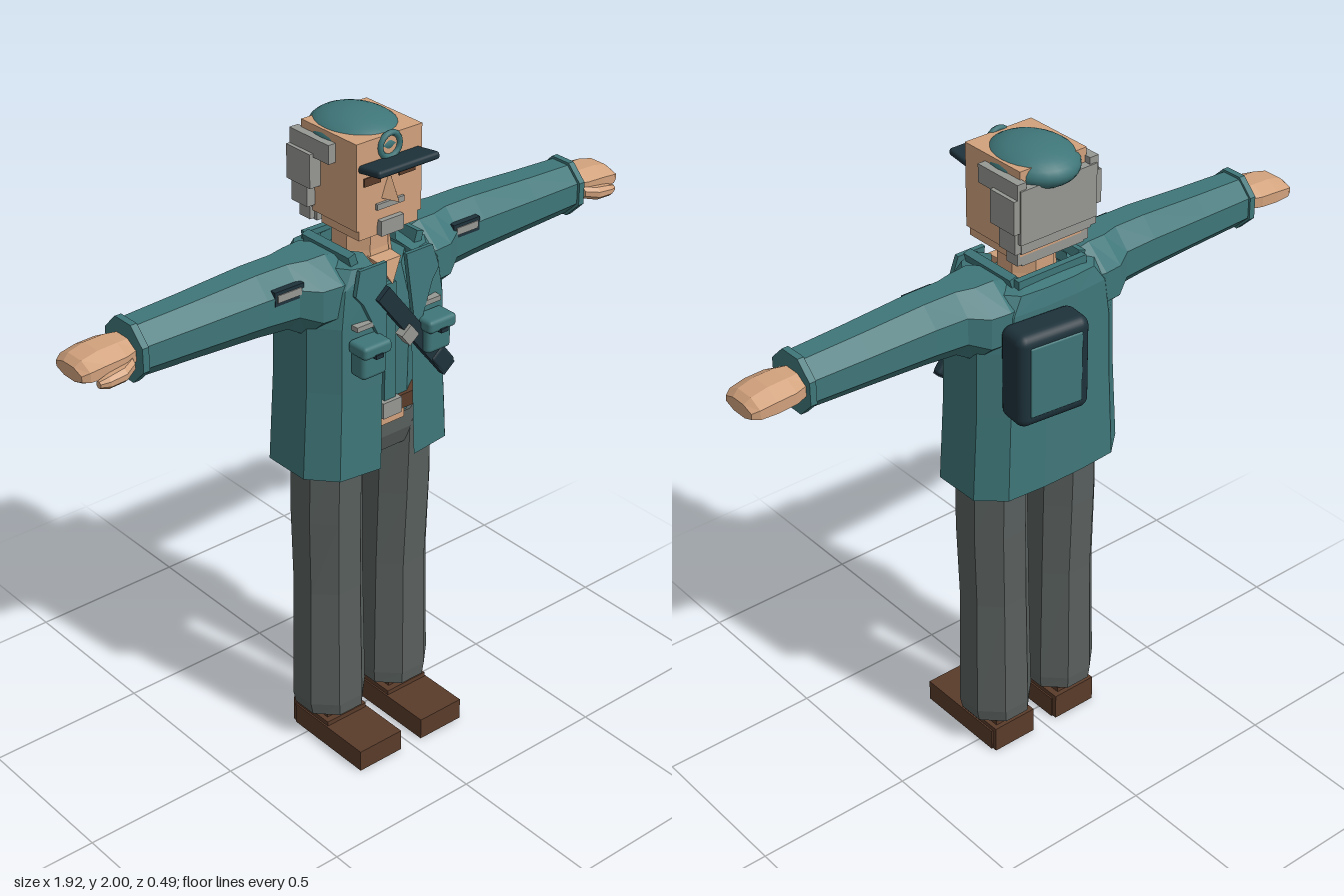
import * as THREE from 'three';
import { RoundedBoxGeometry } from 'three/addons/geometries/RoundedBoxGeometry.js';

const paint = (name, color, extra = {}) => {
  const m = new THREE.MeshStandardMaterial({ color, ...extra });
  m.name = name;
  return m;
};

export function createModel() {
  const teal = paint('teal cloth', 0x3f7679, { side: THREE.DoubleSide });
  const navy = paint('navy', 0x1e323b);
  const slate = paint('trouser grey', 0x59605e);
  const skin = paint('skin', 0xd2a27d);
  const brown = paint('brown leather', 0x593b2a);
  const grey = paint('hair grey', 0x969893);

  const model = new THREE.Group();
  model.name = 'officer';
  const add = (name, geo, mat, x = 0, y = 0, z = 0, rx = 0, ry = 0, rz = 0) => {
    const m = new THREE.Mesh(geo, mat);
    m.name = name;
    m.position.set(x, y, z);
    m.rotation.set(rx, ry, rz);
    model.add(m);
    return m;
  };
  // Box given by its limits on each axis
  const box = (name, mat, x0, x1, y0, y1, z0, z1) =>
    add(name, new THREE.BoxGeometry(Math.abs(x1 - x0), y1 - y0, z1 - z0), mat, (x0 + x1) / 2, (y0 + y1) / 2, (z0 + z1) / 2);

  // Faceted skin over a row of rings of [x, y, z]
  const loft = (rings, closed = true, capped = true) => {
    const p = [], n = rings[0].length;
    const tri = (a, b, c) => p.push(...a, ...b, ...c);
    for (let i = 0; i < rings.length - 1; i++) {
      for (let j = 0; j < (closed ? n : n - 1); j++) {
        const k = (j + 1) % n, lo = rings[i], hi = rings[i + 1];
        tri(lo[j], lo[k], hi[k]);
        tri(lo[j], hi[k], hi[j]);
      }
    }
    if (capped) {
      const first = rings[0], last = rings[rings.length - 1];
      for (let j = 1; j < n - 1; j++) {
        tri(first[0], first[j + 1], first[j]);
        tri(last[0], last[j], last[j + 1]);
      }
    }
    const g = new THREE.BufferGeometry();
    g.setAttribute('position', new THREE.Float32BufferAttribute(p, 3));
    g.computeVertexNormals();
    return g;
  };
  const eight = (f) => Array.from({ length: 8 }, (_, i) => {
    const a = (i + 0.5) * Math.PI / 4, k = 1 / Math.cos(Math.PI / 8);
    return f(Math.cos(a) * k, Math.sin(a) * k);
  });
  // Upright octagonal limb: rows of [y, cx, cz, rx, rz]
  const upright = (rows) => loft(rows.map(([y, cx, cz, rx, rz]) => eight((c, s) => [cx + c * rx, y, cz - s * rz])));
  // Sideways octagonal limb: rows of [x, cy, cz, ry, rz]
  const sideways = (rows, side) => loft(rows.map(([x, cy, cz, ry, rz]) => {
    const ring = eight((c, s) => [side * x, cy + c * ry, cz + s * rz]);
    return side < 0 ? ring.reverse() : ring;
  }));

  // Jacket, open down the front: [y, half width, front z, back z, half opening]
  const jacket = [
    [0.975, 0.267, 0.175, -0.15, 0.062], [1.25, 0.25, 0.17, -0.146, 0.055],
    [1.45, 0.246, 0.168, -0.142, 0.05], [1.56, 0.225, 0.163, -0.14, 0.06],
    [1.61, 0.18, 0.15, -0.13, 0.07], [1.625, 0.1, 0.09, -0.08, 0.06],
  ].map(([y, w, f, b, o]) => {
    const half = [[o, y, f], [w * 0.74, y, f - 0.018], [w, y, f * 0.45], [w, y, b * 0.5], [w * 0.72, y, b * 0.94], [w * 0.25, y, b]];
    return [...half, ...half.slice().reverse().map(([x, yy, z]) => [-x, yy, z])];
  });
  add('jacket', loft(jacket, false, false), teal);

  // Shirt, belt and hips
  add('shirt', upright([[1.1, 0, 0, 0.18, 0.125], [1.45, 0, 0, 0.18, 0.135], [1.57, 0, 0, 0.13, 0.12]]), teal);
  box('shirtPlacket', teal, -0.02, 0.02, 1.16, 1.53, 0.12, 0.14);
  add('hips', upright([[0.985, 0, 0.012, 0.2, 0.1], [1.04, 0, 0.012, 0.21, 0.118], [1.1, 0, 0.01, 0.2, 0.122]]), slate);
  box('waistSkin', skin, -0.056, 0.056, 1.085, 1.115, 0.1, 0.136);
  box('belt', brown, -0.19, 0.19, 1.115, 1.16, -0.1, 0.138);
  box('beltBuckle', grey, -0.034, 0.034, 1.115, 1.165, 0.13, 0.152);
  add('neckOpening', loft([[[-0.04, 1.6, 0.135], [0, 1.53, 0.148], [0.04, 1.6, 0.135]],
    [[-0.04, 1.605, 0.08], [0, 1.6, 0.08], [0.04, 1.605, 0.08]]].reverse()), skin);

  // Parts on both sides
  for (const s of [1, -1]) {
    const side = s > 0 ? 'left' : 'right';
    add(side + 'TrouserLeg', upright([
      [0.11, s * 0.123, 0.012, 0.1, 0.1], [0.15, s * 0.125, 0.012, 0.106, 0.103],
      [0.55, s * 0.125, 0.012, 0.099, 0.098], [0.8, s * 0.13, 0.014, 0.1, 0.104], [1.05, s * 0.13, 0.015, 0.096, 0.11],
    ]), slate);
    box(side + 'Ankle', brown, s * 0.065, s * 0.18, 0.06, 0.115, -0.06, 0.07);
    box(side + 'Heel', brown, s * 0.045, s * 0.195, 0, 0.085, -0.075, 0.09);
    box(side + 'Shoe', brown, s * 0.04, s * 0.2, 0, 0.07, -0.06, 0.25);

    add(side + 'Sleeve', sideways([
      [0.12, 1.535, 0.005, 0.09, 0.12], [0.17, 1.53, 0.005, 0.112, 0.135], [0.23, 1.527, 0.005, 0.113, 0.125],
      [0.285, 1.543, 0.005, 0.098, 0.092], [0.39, 1.548, 0.005, 0.093, 0.09], [0.6, 1.547, 0.005, 0.083, 0.082],
      [0.785, 1.547, 0.005, 0.076, 0.076],
    ], s), teal);
    add(side + 'Cuff', sideways([[0.773, 1.547, 0.006, 0.084, 0.084], [0.793, 1.547, 0.006, 0.084, 0.084]], s), teal);
    add(side + 'Hand', sideways([
      [0.78, 1.55, 0, 0.036, 0.055], [0.83, 1.55, 0, 0.04, 0.074], [0.89, 1.547, 0, 0.041, 0.075],
      [0.94, 1.543, 0, 0.033, 0.07], [0.96, 1.54, 0, 0.02, 0.058],
    ], s), skin);
    add(side + 'Thumb', sideways([
      [0.81, 1.535, 0.06, 0.018, 0.02], [0.85, 1.528, 0.08, 0.02, 0.022], [0.9, 1.524, 0.084, 0.017, 0.018],
      [0.925, 1.522, 0.08, 0.01, 0.01],
    ], s), skin);
    box(side + 'SleevePatch', navy, s * 0.27, s * 0.368, 1.562, 1.604, 0.075, 0.097);
    box(side + 'SleevePatchFace', grey, s * 0.28, s * 0.36, 1.572, 1.594, 0.095, 0.1);

    // Lapel and standing collar
    const shape = new THREE.Shape([[0.035, 0], [0.13, 0], [0.15, -0.07], [0.125, -0.1], [0.055, -0.26]]
      .map(([x, y]) => new THREE.Vector2(s * x, y)));
    add(side + 'Lapel', new THREE.ExtrudeGeometry(shape, { depth: 0.014, bevelEnabled: false }), teal, 0, 1.615, 0.15, -0.09);
    add(side + 'Collar', new THREE.BoxGeometry(0.025, 0.055, 0.2), teal, s * 0.115, 1.618, 0.02, 0, 0, s * -0.3);

    // Chest pouch with flap and name strip
    add(side + 'Pouch', new RoundedBoxGeometry(0.088, 0.1, 0.06, 2, 0.014), teal, s * 0.118, 1.358, 0.185);
    add(side + 'PouchFlap', new RoundedBoxGeometry(0.1, 0.04, 0.075, 2, 0.012), teal, s * 0.118, 1.398, 0.192);
    box(side + 'PouchSnap', navy, s * 0.105, s * 0.131, 1.376, 1.388, 0.22, 0.234);
    box(side + 'ChestStrip', grey, s * 0.08, s * 0.152, 1.443, 1.458, 0.15, 0.178);
  }
  box('backCollar', teal, -0.12, 0.12, 1.59, 1.64, -0.1, -0.08);

  // Diagonal strap with clasp
  add('strap', new THREE.BoxGeometry(0.05, 0.39, 0.022), navy, 0.055, 1.38, 0.18, -0.03, 0, 0.654);
  add('strapEnd', new RoundedBoxGeometry(0.058, 0.08, 0.03, 2, 0.01), navy, 0.15, 1.262, 0.182, 0, 0, 0.654);
  add('strapClasp', new THREE.BoxGeometry(0.042, 0.048, 0.03), grey, 0.022, 1.385, 0.185, 0, 0, 0.654);

  // Back pouch
  const pack = add('backPouch', new RoundedBoxGeometry(0.235, 0.29, 0.11, 3, 0.03), navy, 0.092, 1.402, -0.178, 0, -0.1, 0);
  const panel = new THREE.Mesh(new RoundedBoxGeometry(0.17, 0.22, 0.012, 2, 0.005), teal);
  panel.name = 'backPouchPanel';
  panel.position.set(0, 0, -0.053);
  pack.add(panel);

  // Neck and head
  add('neck', upright([[1.56, 0, 0.012, 0.085, 0.085], [1.62, 0, 0.012, 0.078, 0.078], [1.71, 0, 0.012, 0.076, 0.078]]), skin);
  box('head', skin, -0.115, 0.115, 1.715, 1.968, -0.1, 0.13);
  box('jaw', skin, -0.105, 0.105, 1.685, 1.72, -0.03, 0.128);
  add('nose', loft([
    [[-0.03, 1.79, 0.125], [0, 1.785, 0.172], [0.03, 1.79, 0.125]],
    [[-0.004, 1.855, 0.125], [0, 1.855, 0.135], [0.004, 1.855, 0.125]],
  ]), skin);
  box('moustache', grey, -0.048, 0.048, 1.762, 1.779, 0.128, 0.138);
  box('chinBeard', grey, -0.04, 0.04, 1.685, 1.73, 0.1, 0.146);

  // Stepped hair round the sides and back
  box('backHair', grey, -0.132, 0.132, 1.765, 1.925, -0.125, -0.06);
  box('lowerBackHair', grey, -0.122, 0.122, 1.73, 1.77, -0.113, -0.05);
  box('napeHair', grey, -0.108, 0.108, 1.685, 1.735, -0.1, -0.045);
  for (const s of [1, -1]) {
    box('eye', brown, s * 0.032, s * 0.09, 1.84, 1.864, 0.127, 0.134);
    box('templeHair', grey, s * 0.11, s * 0.14, 1.89, 1.945, -0.12, 0.045);
    box('sideHair', grey, s * 0.11, s * 0.152, 1.8, 1.9, -0.12, -0.02);
    box('lowerSideHair', grey, s * 0.11, s * 0.142, 1.735, 1.805, -0.112, -0.045);
    box('sideburn', grey, s * 0.1, s * 0.125, 1.69, 1.74, -0.1, -0.055);
  }

  // Cap with visor and round badge
  const dome = new THREE.SphereGeometry(1, 28, 18);
  dome.scale(0.121, 0.062, 0.145);
  add('cap', dome, teal, 0, 1.938, -0.012);
  add('capBadge', new THREE.TorusGeometry(0.034, 0.009, 6, 16), teal, 0, 1.938, 0.132);
  add('visor', new RoundedBoxGeometry(0.215, 0.022, 0.095, 2, 0.009), navy, 0, 1.899, 0.167, -0.14);

  return model;
}
